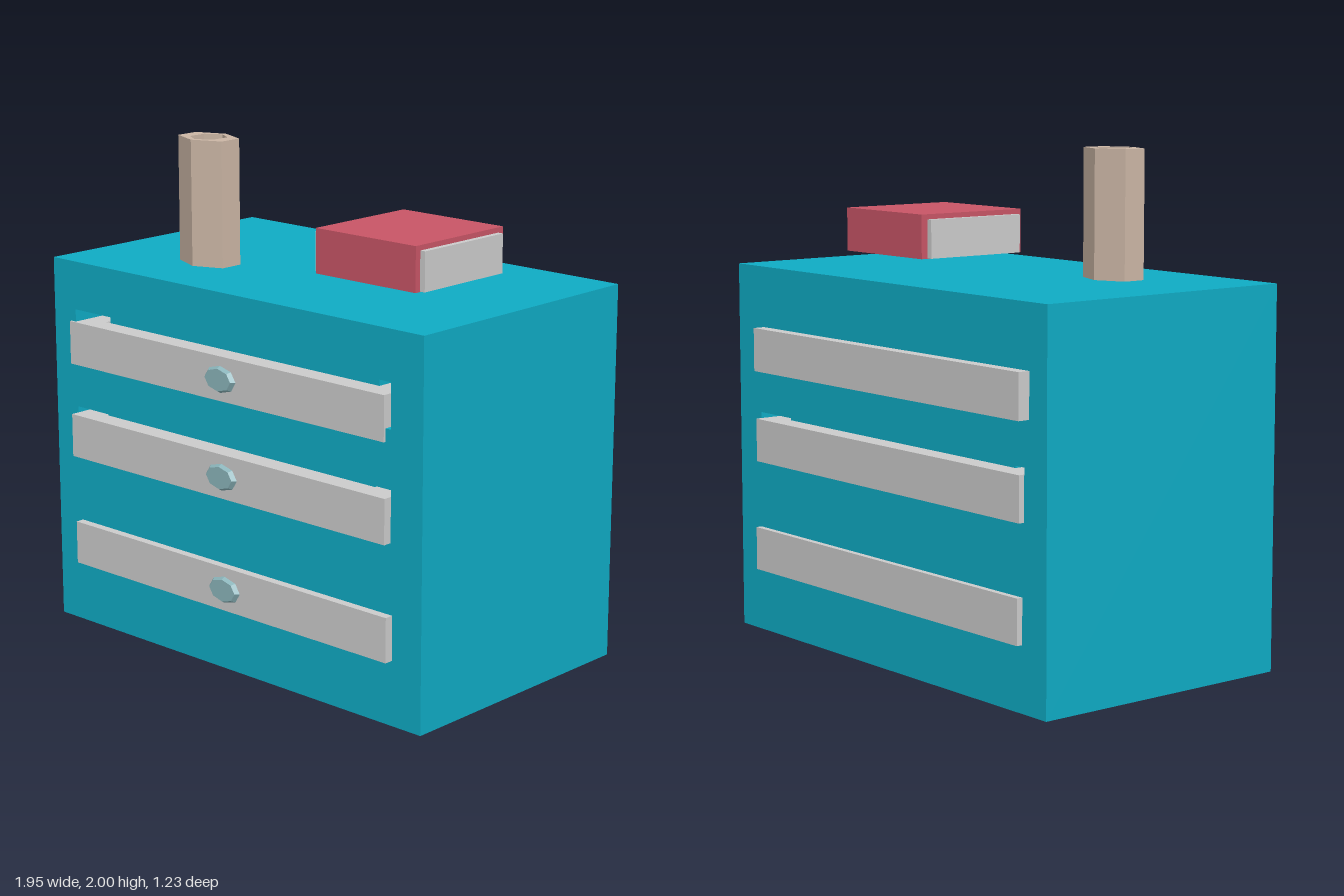
import * as THREE from 'three';

const teal = new THREE.MeshStandardMaterial({ color: 0x0fabc4 });
const grey = new THREE.MeshStandardMaterial({ color: 0xcccccc });
const knobMat = new THREE.MeshStandardMaterial({ color: 0x8bb5bb, flatShading: true });
const red = new THREE.MeshStandardMaterial({ color: 0xc85566 });
const tan = new THREE.MeshStandardMaterial({ color: 0xcbb6a5, flatShading: true });

// Mesh from a box given by its minimum and maximum corners
function box(name, material, [x0, y0, z0], [x1, y1, z1]) {
  const geo = new THREE.BoxGeometry(x1 - x0, y1 - y0, z1 - z0);
  const mesh = new THREE.Mesh(geo, material);
  mesh.name = name;
  mesh.position.set((x0 + x1) / 2, (y0 + y1) / 2, (z0 + z1) / 2);
  return mesh;
}

const points = (list) => list.map(([x, y]) => new THREE.Vector2(x, y));
const rect = (x0, y0, x1, y1) => points([[x0, y0], [x1, y0], [x1, y1], [x0, y1]]);
const hexagon = (a, b) => points([[0, -b], [a, -b / 2], [a, b / 2], [0, b], [-a, b / 2], [-a, -b / 2]]);

// Extruded outline with holes
function extrude(outline, holes, depth) {
  const shape = new THREE.Shape(outline);
  holes.forEach((h) => shape.holes.push(new THREE.Path(h)));
  return new THREE.ExtrudeGeometry(shape, { depth, bevelEnabled: false });
}

const W = 0.975, D = 0.565, H = 1.5;
const WIDTH = 1.675, HEIGHT = 0.175, LENGTH = 1.19, SIDE = 0.122, PANEL = 0.085, FLOOR = 0.03;

// x, y: lower left corner of the drawer; z: its front; shift: offset from its slot
const drawers = [
  { x: -0.84, y: 0.255, z: 0.6, shift: [0, 0] },
  { x: -0.85, y: 0.705, z: 0.6, shift: [0, 0.025] },
  { x: -0.877, y: 1.08, z: 0.575, shift: [0.025, 0.05] },
];

function makeCabinet() {
  const cabinet = new THREE.Group();
  cabinet.name = 'cabinet';
  const slots = drawers.map(({ x, y, shift: [dx, dy] }) =>
    rect(x + dx, y + dy, x + dx + WIDTH, y + dy + HEIGHT));
  const body = new THREE.Mesh(extrude(rect(-W, 0, W, H), slots, 2 * D), teal);
  body.name = 'cabinetBody';
  body.position.z = -D;
  cabinet.add(body);

  // Solid core standing inside each drawer slot
  drawers.forEach(({ x, y, z, shift: [dx, dy] }) => {
    const x0 = x + dx + SIDE, y0 = y + dy + FLOOR;
    cabinet.add(box('slotCore', teal,
      [x0, y0, z - LENGTH + PANEL],
      [x0 + WIDTH - 2 * SIDE, y + dy + HEIGHT, z - PANEL]));
  });

  // The top slot is closed at the back
  const { x, y, shift: [dx, dy] } = drawers[2];
  cabinet.add(box('topSlotBack', teal, [x + dx, y + dy, -D], [x + dx + WIDTH, y + dy + HEIGHT, -D + 0.02]));
  return cabinet;
}

function makeDrawer({ x, y, z }) {
  const drawer = new THREE.Group();
  drawer.name = 'drawer';

  // Tray: a frame of four walls with a floor
  const frameGeo = extrude(rect(0, 0, WIDTH, LENGTH),
    [rect(SIDE, PANEL, WIDTH - SIDE, LENGTH - PANEL)], HEIGHT);
  frameGeo.rotateX(-Math.PI / 2);
  const frame = new THREE.Mesh(frameGeo, grey);
  frame.name = 'drawerFrame';
  frame.position.set(x, y, z);
  drawer.add(frame, box('drawerFloor', grey,
    [x + SIDE, y, z - LENGTH + PANEL], [x + WIDTH - SIDE, y + FLOOR, z - PANEL]));

  // Eight-sided oval knob
  const knobGeo = new THREE.CylinderGeometry(0.8, 1, 0.018, 8);
  knobGeo.rotateX(Math.PI / 2);
  const knob = new THREE.Mesh(knobGeo, knobMat);
  knob.name = 'knob';
  knob.scale.set(0.085, 0.055, 1);
  knob.position.set(x + WIDTH / 2 + 0.01, y + HEIGHT / 2 - 0.002, z + 0.006);
  drawer.add(knob);
  return drawer;
}

function makeBook() {
  const book = new THREE.Group();
  book.name = 'book';
  book.add(
    box('bookCover', red, [0.175, 1.555, -0.238], [0.672, 1.73, 0.263]),
    box('bookPages', grey, [0.15, 1.557, -0.21], [0.695, 1.71, 0.238]));
  return book;
}

// Open six-sided tube standing on the top
function makeVase() {
  const geo = extrude(hexagon(0.12, 0.097), [hexagon(0.064, 0.077)], 0.5);
  geo.rotateX(-Math.PI / 2);
  const vase = new THREE.Mesh(geo, tan);
  vase.name = 'vase';
  vase.position.set(-0.447, H, 0.21);
  return vase;
}

export function createModel() {
  const model = new THREE.Group();
  model.name = 'chestOfDrawers';
  model.add(makeCabinet(), ...drawers.map(makeDrawer), makeBook(), makeVase());
  return model;
}
